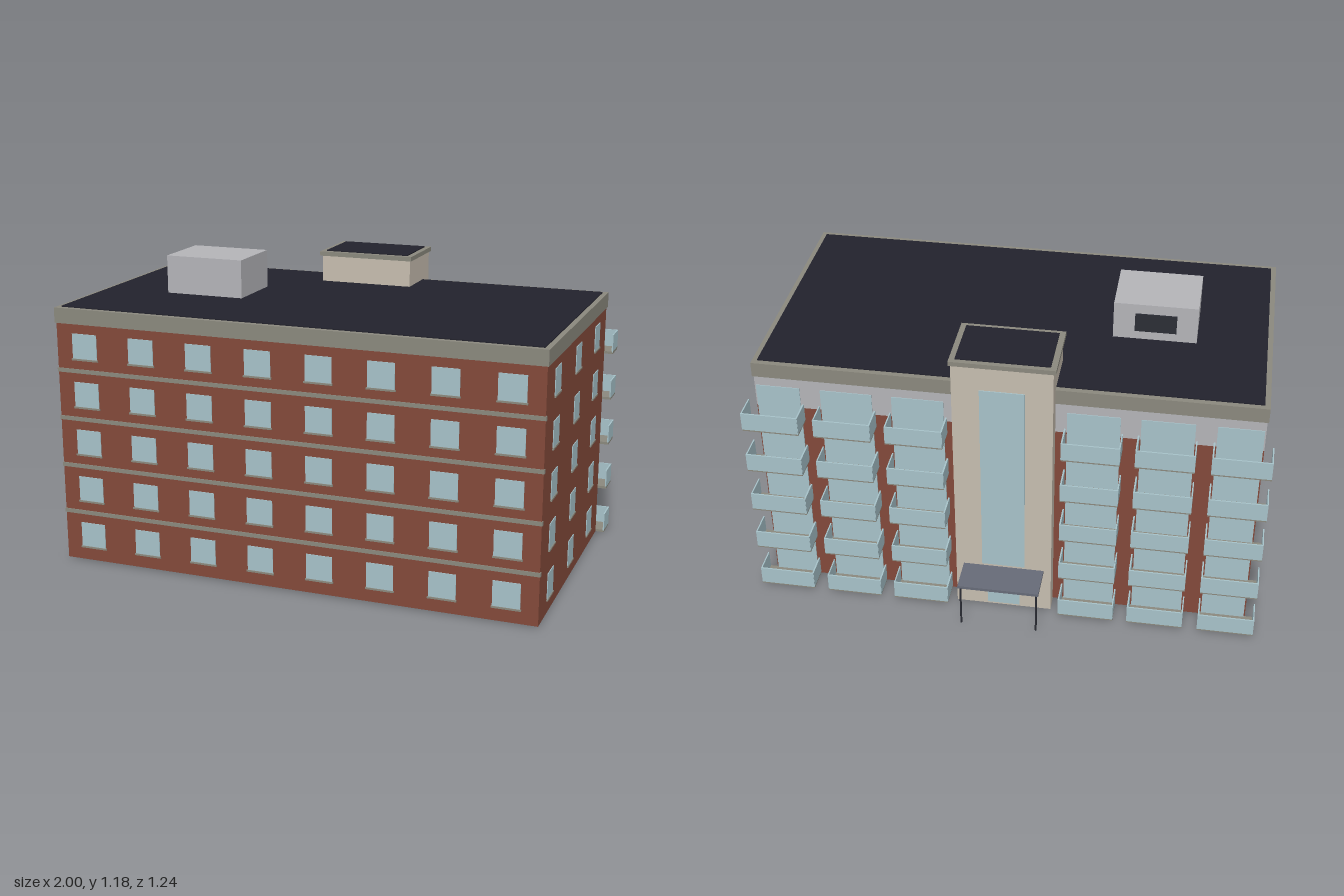
import * as THREE from 'three';

const mat = (name, color) => {
  const m = new THREE.MeshStandardMaterial({ color });
  m.name = name;
  return m;
};

export function createModel() {
  const root = new THREE.Group();
  root.name = 'apartmentBlock';

  const brick = mat('brick', 0x82493a);
  const concrete = mat('concrete', 0x8a887d);
  const glass = mat('glass', 0xa6c1c8);
  const tar = mat('roofTar', 0x22222c);
  const plaster = mat('plaster', 0xc5bcae);
  const metal = mat('lightMetal', 0xb3b3b7);
  const slate = mat('canopySlate', 0x666a77);
  const dark = mat('darkMetal', 0x2b2d35);

  // Box given by its minimum and maximum on each axis
  const box = (name, m, [x0, x1], [y0, y1], [z0, z1], parent = root) => {
    const mesh = new THREE.Mesh(new THREE.BoxGeometry(x1 - x0, y1 - y0, z1 - z0), m);
    mesh.position.set((x0 + x1) / 2, (y0 + y1) / 2, (z0 + z1) / 2);
    mesh.name = name;
    parent.add(mesh);
    return mesh;
  };

  const FLOORS = 5, STEP = 0.193;
  const W = 0.965, BACK = -0.415, FRONT = 0.615;

  // Main body, parapet and roof
  box('brickBody', brick, [-W, W], [0.005, 0.97], [BACK, FRONT]);
  box('parapet', concrete, [-0.97, 0.97], [0.97, 1.03], [-0.422, 0.62]);
  box('mainRoof', tar, [-0.95, 0.95], [1.025, 1.034], [-0.4, 0.598]);

  // One window: pane and sill, facing +z
  const addWindow = (x, y, z, turn, w) => {
    const g = new THREE.Group();
    g.name = 'window';
    box('pane', glass, [-w / 2, w / 2], [-0.05, 0.05], [-0.002, 0.003], g);
    box('sill', concrete, [-w / 2 - 0.004, w / 2 + 0.004], [-0.056, -0.049], [-0.002, 0.006], g);
    g.position.set(x, y, z);
    g.rotation.y = turn;
    root.add(g);
  };

  for (let f = 0; f < FLOORS; f++) {
    const y = 0.111 + f * STEP;
    for (let i = 0; i < 8; i++) addWindow((i - 3.5) * 0.2415, y, FRONT, 0, 0.105);
    for (const s of [-1, 1])
      for (const z of [0.446, 0.101, -0.245]) addWindow(s * W, y, z, s * Math.PI / 2, 0.09);
    // Floor bands on the front
    if (f > 0) {
      const b = 0.004 + f * STEP;
      box('floorBand', concrete, [-0.968, 0.968], [b, b + 0.016], [FRONT - 0.01, FRONT + 0.004]);
    }
  }

  // Back wall: pale strip at the top and tall glazing behind each balcony column
  for (const s of [-1, 1]) {
    const span = (a, b) => (s > 0 ? [a, b] : [-b, -a]);
    box('backTopStrip', metal, span(0.19, W), [0.84, 0.97], [BACK - 0.002, BACK + 0.002]);

    for (const c of [0.334, 0.61, 0.89]) {
      const a = c - 0.11, b = c + 0.11;
      box('balconyGlazing', glass, span(a + 0.01, Math.min(b - 0.01, 0.96)),
        [0.015, 0.93], [BACK - 0.005, BACK + 0.002]);

      for (let f = 0; f < FLOORS; f++) {
        const y = 0.005 + f * STEP, top = y + 0.08, out = -0.513;
        const g = new THREE.Group();
        g.name = 'balcony';
        root.add(g);
        // Floor slab with an open-topped railing of three panels
        box('balconySlab', concrete, span(a, b), [y, y + 0.01], [out, BACK], g);
        box('frontRail', glass, span(a, b), [y + 0.007, top], [out - 0.002, out + 0.004], g);
        box('innerRail', glass, span(a - 0.001, a + 0.005), [y + 0.007, top], [out, BACK], g);
        box('outerRail', glass, span(b - 0.005, b), [y + 0.007, top], [out, BACK], g);
      }
    }
  }

  // Stair tower with cap, roof and glazing
  box('stairTower', plaster, [-0.19, 0.19], [0, 1.145], [-0.48, -0.225]);
  box('towerCap', concrete, [-0.2, 0.197], [1.14, 1.158], [-0.488, -0.218]);
  box('towerRoof', tar, [-0.178, 0.175], [1.155, 1.162], [-0.468, -0.238]);
  box('stairGlazing', glass, [-0.085, 0.085], [0.21, 1.04], [-0.484, -0.478]);
  box('entranceDoor', glass, [-0.065, 0.065], [0.01, 0.15], [-0.484, -0.478]);

  // Entrance canopy on two posts
  box('canopy', slate, [-0.16, 0.16], [0.187, 0.199], [-0.62, -0.48]);
  for (const s of [-1, 1]) {
    const post = new THREE.Mesh(new THREE.CylinderGeometry(0.004, 0.004, 0.188, 8), dark);
    post.position.set(s * 0.15, 0.094, -0.61);
    post.name = 'canopyPost';
    root.add(post);
  }

  // Rooftop plant box with a vent on its back
  box('plantBox', metal, [-0.68, -0.357], [1.03, 1.185], [-0.028, 0.228]);
  box('plantVent', dark, [-0.6, -0.44], [1.07, 1.146], [-0.033, -0.026]);

  return root;
}
